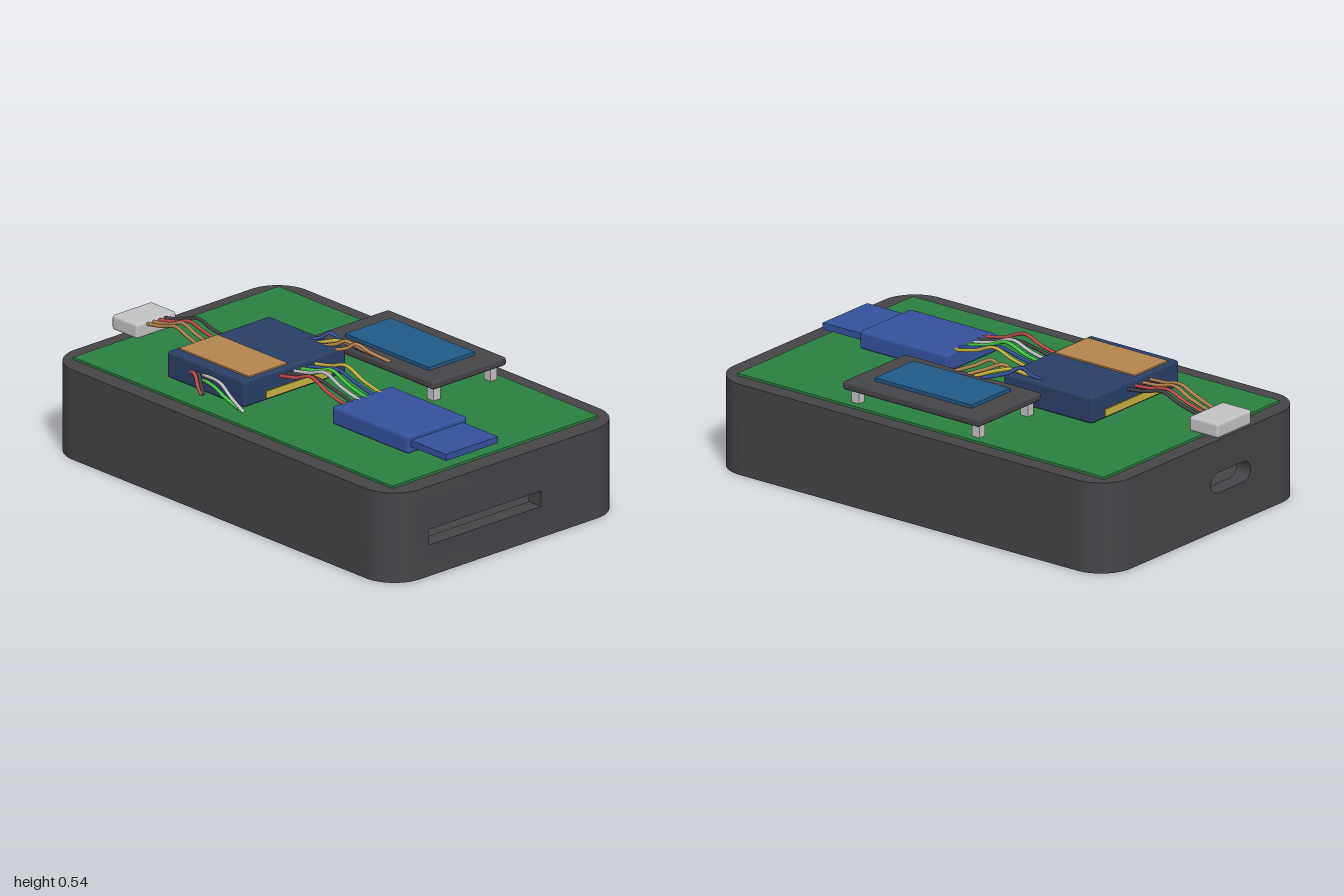
import * as THREE from 'three';
import { RoundedBoxGeometry } from 'three/addons/geometries/RoundedBoxGeometry.js';
import { toCreasedNormals } from 'three/addons/utils/BufferGeometryUtils.js';

const mat = (name, color) => new THREE.MeshStandardMaterial({ name, color });
const M = {
  grey: mat('darkGrey', 0x454549),
  pcb: mat('boardGreen', 0x2b7f40),
  navy: mat('navy', 0x2a3f66),
  blue: mat('blue', 0x34519c),
  screen: mat('screenBlue', 0x215a88),
  tan: mat('tan', 0xb5864f),
  light: mat('lightGrey', 0xc2c2c4),
  yellow: mat('yellow', 0xc8b440),
  red: mat('red', 0xc24a4a),
  green: mat('wireGreen', 0x45cc45),
};

export function createModel() {
  const model = new THREE.Group();
  const add = (name, geo, material, parent = model) => {
    const mesh = new THREE.Mesh(geo, material);
    mesh.name = name;
    parent.add(mesh);
    return mesh;
  };
  // box given by its limits; r > 0 rounds the edges
  const block = (name, [x0, x1], [y0, y1], [z0, z1], material, r = 0) => {
    const s = [x1 - x0, y1 - y0, z1 - z0];
    const geo = r ? new RoundedBoxGeometry(...s, 2, r) : new THREE.BoxGeometry(...s);
    return add(name, geo.translate((x0 + x1) / 2, (y0 + y1) / 2, (z0 + z1) / 2), material);
  };

  // ---- hollow case ----
  const body = new THREE.Group();
  body.name = 'case';
  body.position.x = 0.0125;
  model.add(body);
  const H = 0.9875, D = 0.615, R = 0.15, T = 0.07, TOP = 0.375, LID = 0.055;
  const C = D - R, wallH = TOP - LID - T;
  const extrude = (shape, depth) => toCreasedNormals(
    new THREE.ExtrudeGeometry(shape, { depth, bevelEnabled: false, curveSegments: 12 }), 0.5);
  const rect = (path, x0, x1, y0, y1) => path.moveTo(x0, y0).lineTo(x1, y0).lineTo(x1, y1).lineTo(x0, y1).closePath();
  const plateShape = () => {
    const s = new THREE.Shape();
    s.absarc(H - R, C, R, 0, Math.PI / 2);
    s.absarc(-H + R, C, R, Math.PI / 2, Math.PI);
    s.absarc(-H + R, -C, R, Math.PI, Math.PI * 1.5);
    s.absarc(H - R, -C, R, Math.PI * 1.5, Math.PI * 2);
    s.closePath();
    return s;
  };
  // floor with two small openings near the front
  const floor = plateShape();
  for (const x of [-0.145, 0.165]) floor.holes.push(rect(new THREE.Path(), x - 0.055, x + 0.055, -0.53, -0.43));
  add('caseFloor', extrude(floor, T).rotateX(-Math.PI / 2), M.grey, body);
  add('caseTop', extrude(plateShape(), LID).rotateX(-Math.PI / 2).translate(0, TOP - LID, 0), M.grey, body);
  // front and back walls with their rounded corners
  const u = new THREE.Shape();
  u.moveTo(-H, C);
  u.absarc(-H + R, C, R, Math.PI, Math.PI / 2, true);
  u.absarc(H - R, C, R, Math.PI / 2, 0, true);
  u.lineTo(H - T, C);
  u.absarc(H - R, C, R - T, 0, Math.PI / 2, false);
  u.absarc(-H + R, C, R - T, Math.PI / 2, Math.PI, false);
  u.closePath();
  for (const [name, turn] of [['backWall', 0], ['frontWall', Math.PI]])
    add(name, extrude(u, wallH).rotateX(-Math.PI / 2).translate(0, T, 0).rotateY(turn), M.grey, body);
  // end walls: long slot on one side, rounded port on the other
  const slot = rect(new THREE.Path(), -0.42, 0.17, 0.13, 0.195);
  const port = new THREE.Path();
  port.absarc(-0.07, 0.197, 0.042, -Math.PI / 2, Math.PI / 2);
  port.absarc(-0.23, 0.197, 0.042, Math.PI / 2, Math.PI * 1.5);
  port.closePath();
  for (const [name, hole, x] of [['slotWall', slot, H - T], ['portWall', port, -H]]) {
    const s = rect(new THREE.Shape(), -C, C, T, T + wallH);
    s.holes.push(hole);
    add(name, extrude(s, T).rotateY(Math.PI / 2).translate(x, 0, 0), M.grey, body);
  }

  // ---- circuit board and modules ----
  block('circuitBoard', [-0.905, 0.92], [0.374, 0.385], [-0.545, 0.54], M.pcb);
  block('displayBoard', [-0.28, 0.4], [0.44, 0.475], [-0.545, -0.155], M.grey, 0.012);
  block('displayScreen', [-0.18, 0.3], [0.474, 0.489], [-0.465, -0.225], M.screen);
  for (const x of [-0.24, 0.36])
    for (const z of [-0.495, -0.195])
      block('displayPost', [x - 0.018, x + 0.018], [0.38, 0.445], [z - 0.018, z + 0.018], M.light);

  block('controlModule', [-0.505, -0.065], [0.385, 0.495], [-0.125, 0.415], M.navy, 0.012);
  block('moduleLabel', [-0.485, -0.085], [0.494, 0.501], [0.165, 0.37], M.tan);
  for (const x of [-0.506, -0.064])
    block('pinStrip', [x - 0.004, x + 0.004], [0.395, 0.425], [-0.045, 0.3], M.yellow);

  block('adapterBody', [0.285, 0.72], [0.385, 0.46], [-0.04, 0.275], M.blue, 0.012);
  block('adapterPlug', [0.71, 0.92], [0.413, 0.44], [-0.018, 0.257], M.blue);
  block('cableConnector', [-1, -0.855], [0.393, 0.455], [0.04, 0.25], M.light, 0.012);

  // ---- wires ----
  const wire = (name, material, ...points) => {
    const curve = new THREE.CatmullRomCurve3(points.map((p) => new THREE.Vector3(...p)));
    add(name, new THREE.TubeGeometry(curve, 20, 0.0075, 7), material);
  };
  // connector to control module
  [M.grey, M.red, M.tan, M.tan].forEach((m, i) => {
    const a = 0.1 + 0.03 * i, b = 0.1 + 0.047 * i;
    wire('cableWire', m, [-0.87, 0.44, a], [-0.76, 0.465, a * 0.7 + b * 0.3],
      [-0.67, 0.497 - 0.004 * (i % 2), (a + b) / 2], [-0.59, 0.477, a * 0.3 + b * 0.7], [-0.49, 0.465, b]);
  });
  // control module to adapter
  [M.yellow, M.blue, M.green, M.light, M.grey, M.red].forEach((m, i) => {
    const z = 0.036 + 0.037 * i, peak = [0.512, 0.503, 0.513, 0.512, 0.497, 0.515][i];
    wire('adapterWire', m, [-0.08, 0.465, z], [0.02, 0.485, z], [0.11, peak, z], [0.2, 0.48, z], [0.31, 0.455, z]);
  });
  // control module to display
  [M.blue, M.yellow, M.tan, M.tan].forEach((m, i) => {
    const x = [-0.23, -0.18, -0.14, -0.08][i], e = [0, 0.035, 0.07, 0.13][i], peak = [0.532, 0.515, 0.525, 0.53][i];
    wire('displayWire', m, [x, 0.49, -0.08], [x + 0.05, 0.507, -0.098],
      [x + 0.085, peak, -0.113], [x + 0.14, 0.503, -0.14], [e, 0.475, -0.178]);
  });
  // loose wires at the front of the control module
  wire('looseWire', M.red, [-0.37, 0.45, 0.41], [-0.325, 0.448, 0.43], [-0.3, 0.415, 0.44], [-0.265, 0.39, 0.452]);
  wire('looseWire', M.grey, [-0.34, 0.45, 0.41], [-0.31, 0.455, 0.425], [-0.285, 0.42, 0.436], [-0.26, 0.39, 0.445]);
  wire('looseWire', M.green, [-0.31, 0.435, 0.41], [-0.22, 0.43, 0.425], [-0.15, 0.41, 0.435], [-0.06, 0.39, 0.443]);
  wire('looseWire', M.light, [-0.3, 0.455, 0.41], [-0.18, 0.46, 0.432], [-0.11, 0.425, 0.442], [-0.02, 0.39, 0.455]);

  return model;
}
